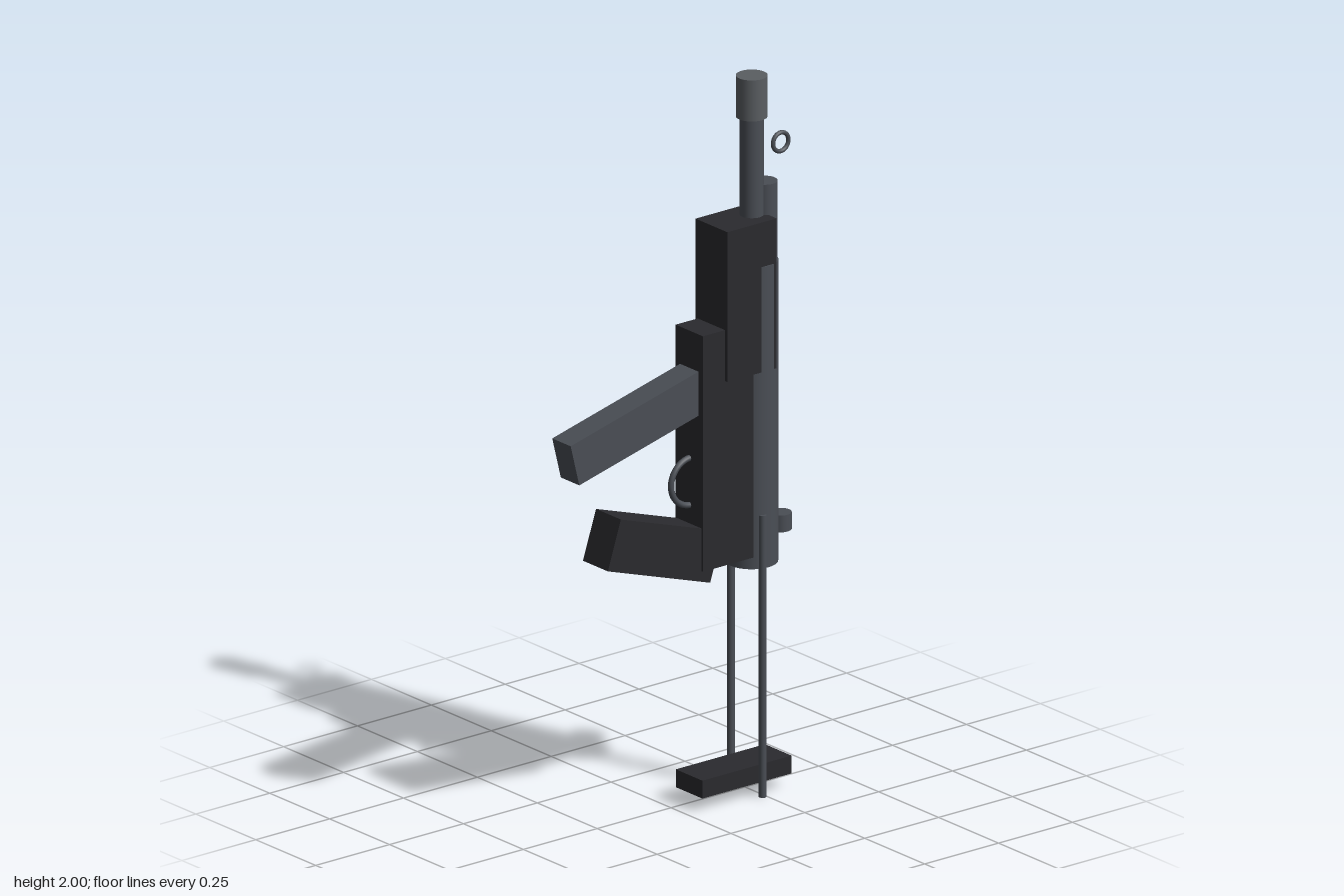
import * as THREE from 'three';

const material = (color) => new THREE.MeshStandardMaterial({ color });

export function createModel() {
  const model = new THREE.Group();
  const black = material(0x2a2a2e);
  const steel = material(0x4a4e55);
  const bright = material(0x5a5e62);
  const midX = 0.02; // the body's centre line

  function add(name, geometry, mat, x, y, z) {
    const mesh = new THREE.Mesh(geometry, mat);
    mesh.name = name;
    mesh.position.set(x, y, z);
    model.add(mesh);
    return mesh;
  }
  const box = (name, mat, w, h, d, y, z) =>
    add(name, new THREE.BoxGeometry(w, h, d), mat, midX, y, z);
  // Upright cylinder between two heights
  const post = (name, mat, r, y0, y1, z, x = midX) =>
    add(name, new THREE.CylinderGeometry(r, r, y1 - y0, 32), mat, x, (y0 + y1) / 2, z);
  // Ring lying in the side plane
  const ring = (name, mat, r, tube, y, z) => {
    add(name, new THREE.TorusGeometry(r, tube, 12, 40), mat, midX, y, z).rotation.y = Math.PI / 2;
  };

  // Barrel, muzzle and tubular receiver
  post('muzzle', bright, 0.042, 1.885, 2, -0.257);
  post('barrel', steel, 0.032, 1.45, 1.89, -0.257);
  post('receiverTube', steel, 0.07, 0.64, 1.485, -0.257);
  post('cockingTube', steel, 0.035, 1.15, 1.695, -0.3);

  // Side handle on the cocking tube
  const handle = post('cockingHandle', bright, 0.015, 0, 0.12, -0.313, -0.04);
  handle.position.y = 1.547;
  handle.rotation.z = Math.PI / 2;

  // Boxy housings
  box('handguard', black, 0.133, 0.42, 0.167, 1.4, -0.204);
  box('lowerReceiver', black, 0.114, 0.66, 0.195, 1.003, -0.143);

  // Slanted magazine and grip
  box('magazine', steel, 0.077, 0.12, 0.5, 1.123, 0.13).rotation.x = 0.245;
  box('grip', black, 0.104, 0.142, 0.364, 0.758, 0.077).rotation.x = -0.315;

  // Trigger guard and sights
  ring('triggerGuard', steel, 0.066, 0.0085, 0.91, -0.05);
  ring('frontSight', steel, 0.026, 0.006, 1.79, -0.355);
  post('rearSight', steel, 0.03, 0.706, 0.753, -0.354);

  // Sliding stock: two rods and a butt plate
  for (const side of [-1, 1]) {
    post('stockRod', steel, 0.0105, 0, 0.79, -0.24, midX + side * 0.0665);
  }
  box('buttPlate', black, 0.111, 0.05, 0.302, 0.062, -0.196);

  return model;
}
